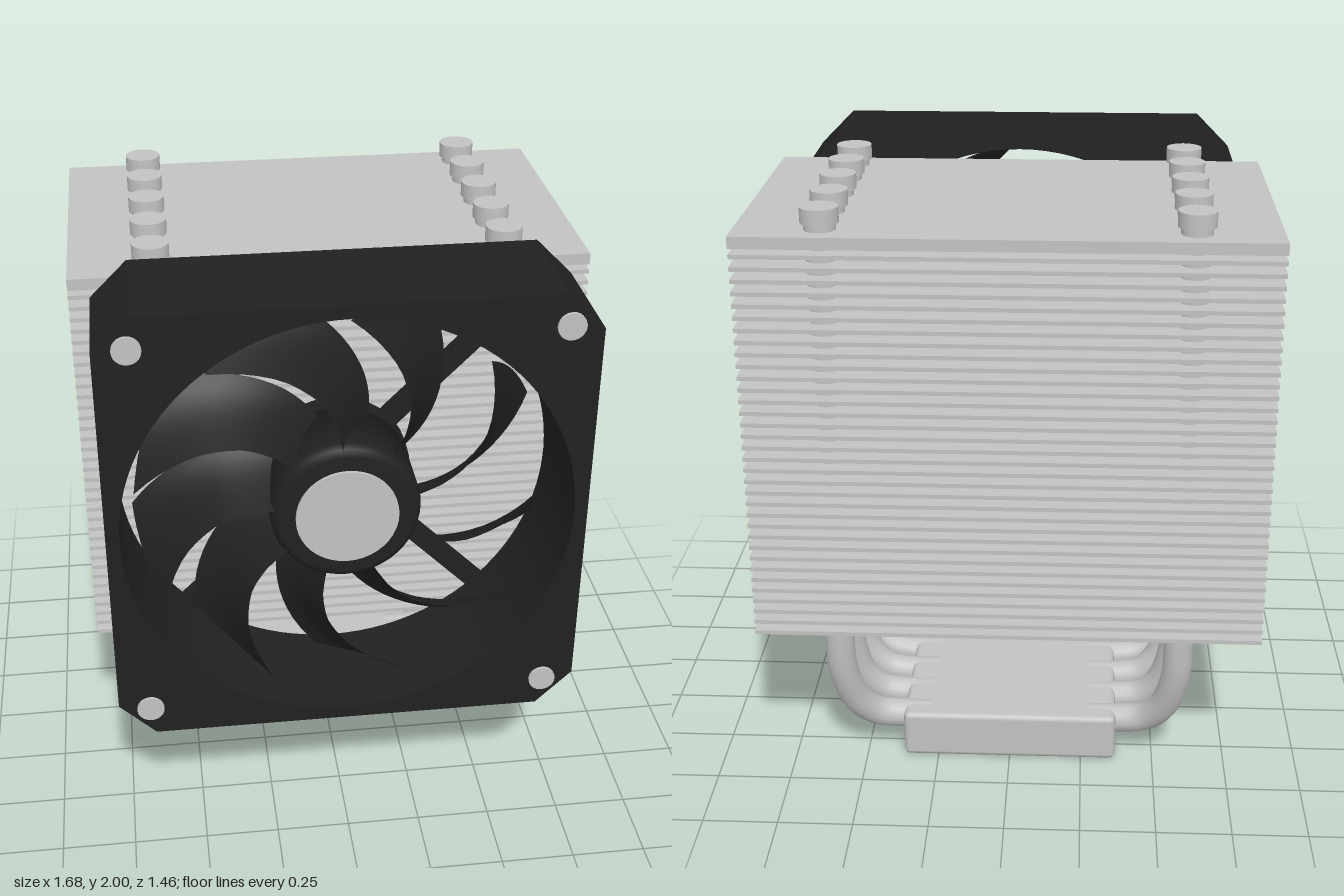
import * as THREE from 'three';
import { RoundedBoxGeometry } from 'three/addons/geometries/RoundedBoxGeometry.js';

const metal = new THREE.MeshStandardMaterial({ color: 0xc2c2c2 });
metal.name = 'brushed metal';
const black = new THREE.MeshStandardMaterial({ color: 0x212121, side: THREE.DoubleSide });
black.name = 'black plastic';

const FAN_Y = 1.23;
const FIN_Z = -0.23;

function add(parent, name, geometry, material, x = 0, y = 0, z = 0) {
  const mesh = new THREE.Mesh(geometry, material);
  mesh.name = name;
  mesh.position.set(x, y, z);
  parent.add(mesh);
  return mesh;
}

// Linear interpolation through a few [radius, value] pairs
function sample(table, r) {
  for (let i = 1; i < table.length; i++) {
    const [r0, a] = table[i - 1], [r1, b] = table[i];
    if (r <= r1 || i === table.length - 1) return a + (b - a) * (r - r0) / (r1 - r0);
  }
}

// Swept fan blade: a grid bent between a leading and a trailing edge
function bladeGeometry() {
  const lead = [[0.22, -27], [0.32, -24], [0.41, -19], [0.53, -8], [0.61, 1], [0.685, 9.5]];
  const trail = [[0.22, -56], [0.3, -50], [0.387, -43], [0.5, -33], [0.6, -24], [0.685, -16]];
  const g = new THREE.PlaneGeometry(1, 1, 8, 14);
  const p = g.attributes.position;
  for (let i = 0; i < p.count; i++) {
    const u = p.getX(i) + 0.5, r = 0.22 + 0.465 * (p.getY(i) + 0.5);
    const a = THREE.MathUtils.degToRad(THREE.MathUtils.lerp(sample(lead, r), sample(trail, r), u));
    const z = 0.64 - 0.23 * u - 0.035 * Math.sin(Math.PI * u);
    p.setXYZ(i, r * Math.cos(a), r * Math.sin(a), z);
  }
  g.computeVertexNormals();
  return g;
}

function makeFan() {
  const fan = new THREE.Group();
  fan.name = 'fan';
  fan.position.y = FAN_Y;

  // Square frame with cut corners and a round duct
  const h = 0.77, c = 0.65;
  const outline = new THREE.Shape([
    [-c, -h], [c, -h], [h, -c], [h, c], [c, h], [-c, h], [-h, c], [-h, -c],
  ].map(([x, y]) => new THREE.Vector2(x, y)));
  const hole = new THREE.Path();
  hole.absarc(0, 0, 0.726, 0, Math.PI * 2, true);
  outline.holes.push(hole);
  add(fan, 'fanFrame', new THREE.ExtrudeGeometry(outline,
    { depth: 0.413, bevelEnabled: false, curveSegments: 48 }), black, 0, 0, 0.304);

  // Corner screws
  const screw = new THREE.CylinderGeometry(0.045, 0.045, 0.03, 24).rotateX(Math.PI / 2);
  for (const x of [-0.665, 0.665])
    for (const y of [-0.665, 0.665]) add(fan, 'frameScrew', screw, metal, x, y, 0.712);

  // Rear motor mount and diagonal struts
  add(fan, 'motorMount', new THREE.CylinderGeometry(0.25, 0.25, 0.06, 40).rotateX(Math.PI / 2), black, 0, 0, 0.34);
  for (let i = 0; i < 4; i++) {
    const a = Math.PI / 4 + i * Math.PI / 2;
    const strut = add(fan, 'strut', new THREE.BoxGeometry(0.54, 0.06, 0.05), black,
      0.48 * Math.cos(a), 0.48 * Math.sin(a), 0.335);
    strut.rotation.z = a;
  }

  // Rotor hub with a rounded shoulder and a metal cap
  const hub = [[0, 0.38], [0.245, 0.38], [0.245, 0.61], [0.236, 0.635], [0.215, 0.65], [0, 0.652]]
    .map(([r, z]) => new THREE.Vector2(r, z));
  add(fan, 'rotorHub', new THREE.LatheGeometry(hub, 48).rotateX(Math.PI / 2), black);
  add(fan, 'hubCap', new THREE.CylinderGeometry(0.167, 0.167, 0.014, 40).rotateX(Math.PI / 2), metal, 0, 0, 0.655);

  // Nine swept blades
  const blade = bladeGeometry();
  for (let i = 0; i < 9; i++) add(fan, 'blade', blade, black).rotation.z = i * Math.PI * 2 / 9;
  return fan;
}

function makeHeatsink() {
  const sink = new THREE.Group();
  sink.name = 'heatsink';

  // Fin stack with a thicker top plate
  const fin = new THREE.BoxGeometry(1.68, 0.014, 1.0);
  for (let i = 0; i < 34; i++) add(sink, 'fin', fin, metal, 0, 0.565 + i * 0.0394, FIN_Z);
  add(sink, 'topPlate', new THREE.BoxGeometry(1.68, 0.038, 1.0), metal, 0, 1.909, FIN_Z);

  // Contact block
  add(sink, 'baseBlock', new RoundedBoxGeometry(0.74, 0.168, 0.735, 1, 0.018), metal, 0, 0.084, FIN_Z);

  // Heat pipes: vertical through the fins, then curving in to the block
  const neck = new THREE.CylinderGeometry(0.05, 0.05, 0.04, 24);
  const cap = new THREE.CylinderGeometry(0.06, 0.06, 0.05, 28);
  for (const side of [-1, 1]) {
    for (let i = -2; i <= 2; i++) {
      const z = FIN_Z + i * 0.201, dz = -i * 0.058;
      const at = (x, y, t) => new THREE.Vector3(side * x, y, z + dz * t);
      const bend = new THREE.CatmullRomCurve3([
        at(0.573, 0.6, 0), at(0.573, 0.5, 0), at(0.568, 0.36, 0.12), at(0.53, 0.215, 0.5),
        at(0.465, 0.142, 0.85), at(0.38, 0.124, 1), at(0.28, 0.122, 1),
      ]);
      add(sink, 'pipeBend', new THREE.TubeGeometry(bend, 28, 0.05, 16), metal);
      add(sink, 'pipe', new THREE.CylinderGeometry(0.05, 0.05, 1.34, 16, 1, true), metal, side * 0.573, 1.26, z);
      add(sink, 'pipeNeck', neck, metal, side * 0.573, 1.94, z);
      add(sink, 'pipeCap', cap, metal, side * 0.573, 1.975, z);
    }
  }
  return sink;
}

export function createModel() {
  const model = new THREE.Group();
  model.name = 'cpuCooler';
  model.add(makeHeatsink(), makeFan());
  return model;
}
